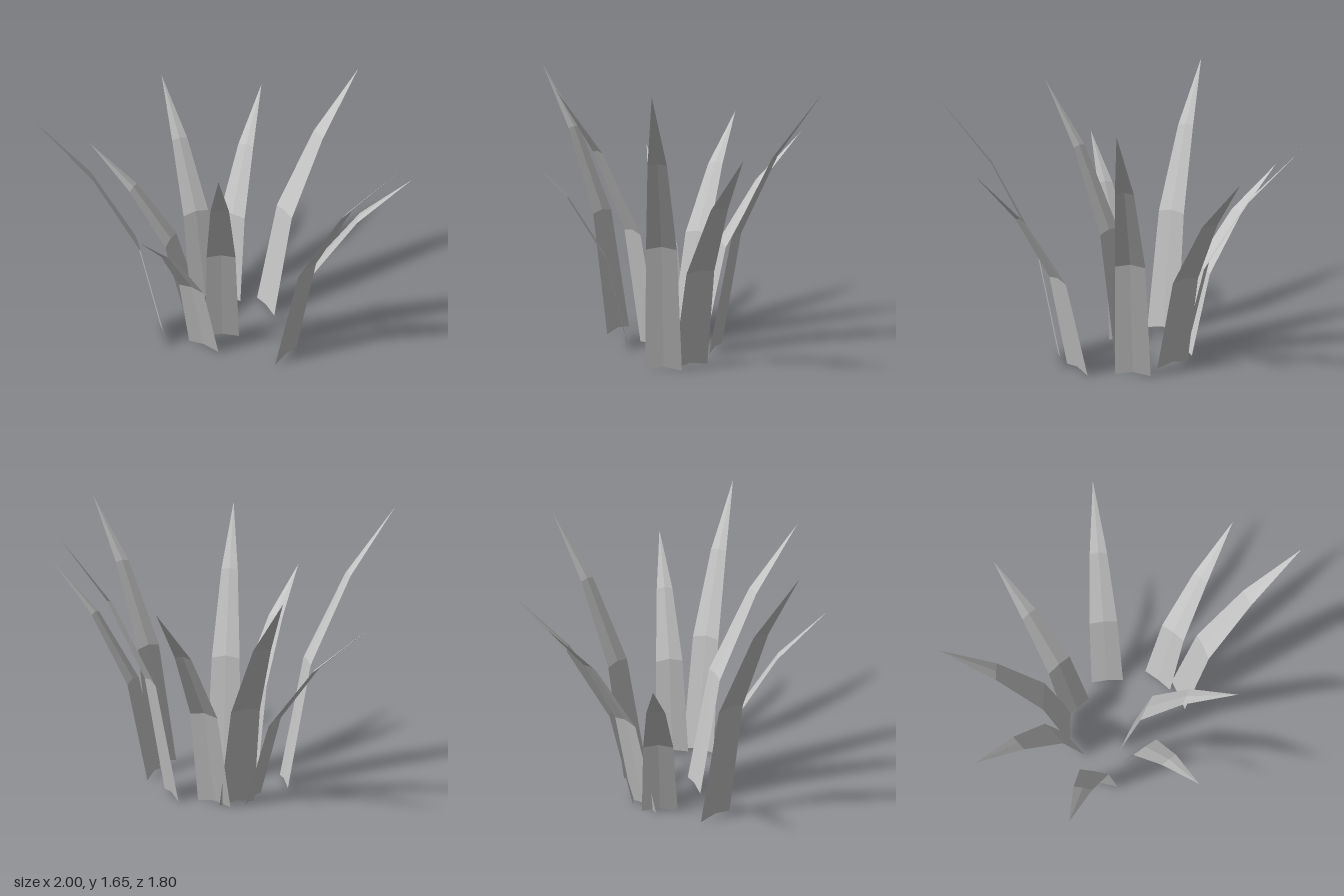
import * as THREE from 'three';

// Each blade: base x, base z, tip x, tip z, height
const BLADES = [
  [-0.31, 0.35, -0.60, 0.90, 1.65],
  [-0.39, -0.077, -1.00, -0.29, 1.33],
  [-0.40, 0.035, -0.985, 0.305, 1.09],
  [-0.312, -0.182, -0.575, -0.75, 1.26],
  [-0.065, -0.307, 0.07, -0.905, 1.56],
  [0.255, -0.21, 0.79, -0.56, 1.29],
  [0.352, -0.07, 0.995, -0.137, 1.62],
  [-0.05, 0.09, 0.405, 0.52, 1.59],
  [-0.06, 0.238, 0.12, 0.815, 1.205],
];

// Cross-sections up a blade: height fraction, lean fraction, half width
const SECTIONS = [
  [0, 0, 0.105],
  [0.455, 0.2, 0.084],
  [0.765, 0.57, 0.05],
  [1, 1, 0],
];
const RIDGE = 0.19; // lift of the centre fold relative to half width

function bladeGeometry([bx, bz, tx, tz, height]) {
  const dx = tx - bx, dz = tz - bz;
  const length = Math.hypot(dx, dz);
  const sideX = -dz / length, sideZ = dx / length;

  // Three points per section: one edge, the raised fold, the other edge
  const positions = [];
  for (const [up, lean, half] of SECTIONS) {
    for (const side of [-1, 0, 1]) {
      positions.push(
        bx + dx * lean + sideX * half * side,
        height * up + (side === 0 ? RIDGE * half : 0),
        bz + dz * lean + sideZ * half * side,
      );
    }
  }

  // Two strips of faces, closing to a point at the tip
  const index = [];
  for (let row = 0; row < SECTIONS.length - 1; row++) {
    for (let col = 0; col < 2; col++) {
      const a = row * 3 + col, b = a + 1, c = a + 3, d = a + 4;
      index.push(a, b, d);
      if (row < SECTIONS.length - 2) index.push(a, d, c);
    }
  }

  const geometry = new THREE.BufferGeometry();
  geometry.setAttribute('position', new THREE.Float32BufferAttribute(positions, 3));
  geometry.setIndex(index);
  const flat = geometry.toNonIndexed();
  flat.computeVertexNormals();
  return flat;
}

export function createModel() {
  const group = new THREE.Group();
  group.name = 'grassTuft';
  const material = new THREE.MeshStandardMaterial({
    color: 0xc4c4c4, flatShading: true, side: THREE.DoubleSide,
  });
  material.name = 'pale grey';

  BLADES.forEach((blade, i) => {
    const mesh = new THREE.Mesh(bladeGeometry(blade), material);
    mesh.name = `grassBlade${i + 1}`;
    group.add(mesh);
  });
  return group;
}
